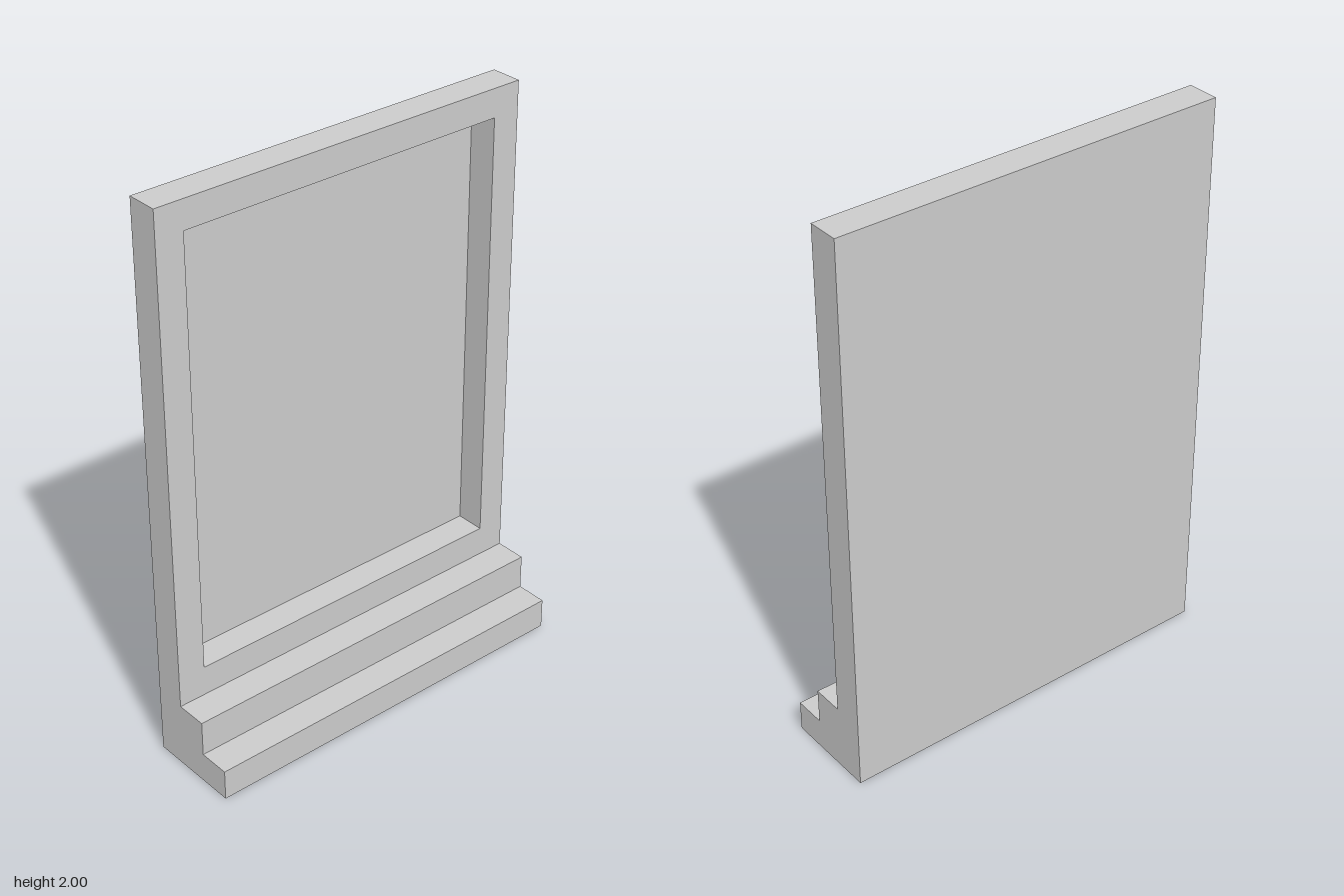
import * as THREE from 'three';

const W = 1.41, H = 2;                              // overall width and height
const BACK = -0.168, FACE = -0.056;                 // slab back and front
const STEPS = [{ z: 0.168, y: 0.11 }, { z: 0.056, y: 0.237 }];
const OPEN = { x: 0.605, y0: 0.345, y1: 1.9 };      // recess outline
const PANEL = 0.008;                                // thickness behind the recess

const polygon = (Type, pts) => new Type(pts.map(([x, y]) => new THREE.Vector2(x, y)));
const extrude = (shape, depth) => new THREE.ExtrudeGeometry(shape, { depth, bevelEnabled: false });

export function createModel() {
  const group = new THREE.Group();
  const material = new THREE.MeshStandardMaterial({ color: 0xcccccc, flatShading: true });
  const add = (name, geometry) => {
    const mesh = new THREE.Mesh(geometry, material);
    mesh.name = name;
    group.add(mesh);
  };

  // Stepped base: side profile (x = -z) swept across the width
  const [low, high] = STEPS;
  const profile = polygon(THREE.Shape, [
    [-low.z, 0], [-BACK, 0], [-BACK, high.y], [-high.z, high.y], [-high.z, low.y], [-low.z, low.y],
  ]);
  add('steppedBase', extrude(profile, W).rotateY(Math.PI / 2).translate(-W / 2, 0, 0));

  // Upright frame with a rectangular opening
  const outline = polygon(THREE.Shape, [[-W / 2, high.y], [W / 2, high.y], [W / 2, H], [-W / 2, H]]);
  outline.holes.push(polygon(THREE.Path, [
    [-OPEN.x, OPEN.y0], [-OPEN.x, OPEN.y1], [OPEN.x, OPEN.y1], [OPEN.x, OPEN.y0],
  ]));
  add('frame', extrude(outline, FACE - BACK).translate(0, 0, BACK));

  // Thin panel closing the back of the opening
  add('backPanel', new THREE.BoxGeometry(2 * OPEN.x, OPEN.y1 - OPEN.y0, PANEL)
    .translate(0, (OPEN.y0 + OPEN.y1) / 2, BACK + PANEL / 2));

  return group;
}
